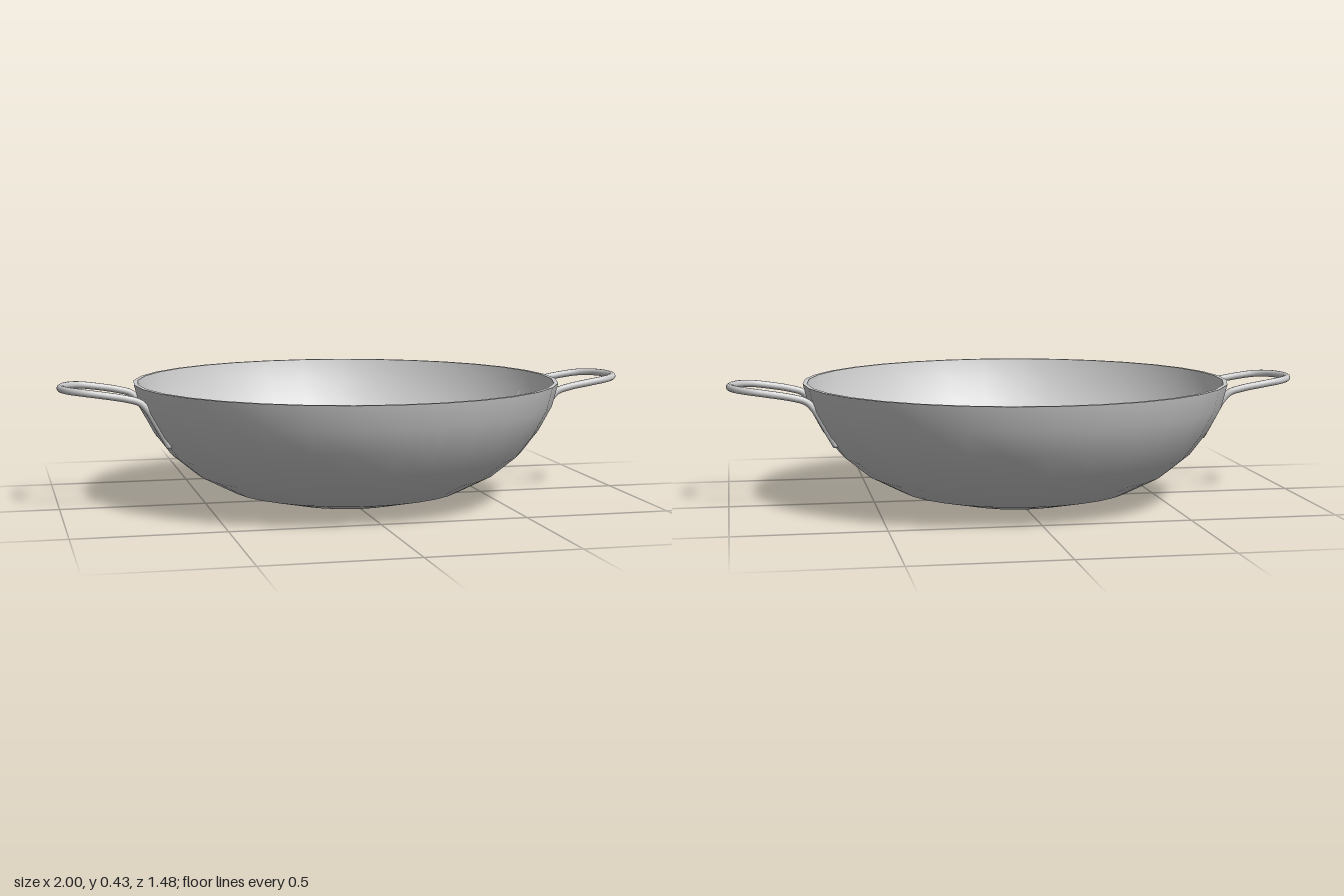
import * as THREE from 'three';

const material = new THREE.MeshStandardMaterial({ color: 0xcccccc });

// Outer wall profile, from the centre of the base up to the rim: [radius, height]
const OUTER = [[0, 0], [0.225, 0], [0.41, 0.043], [0.53, 0.105], [0.615, 0.175],
  [0.675, 0.255], [0.72, 0.34], [0.74, 0.42]];
// Inner wall, one wall thickness inside, from the rim back down to the centre
const INNER = [[0.725, 0.42], [0.706, 0.344], [0.662, 0.262], [0.604, 0.185],
  [0.521, 0.117], [0.405, 0.057], [0.223, 0.015], [0, 0.015]];

function addMesh(parent, name, geometry) {
  const mesh = new THREE.Mesh(geometry, material);
  mesh.name = name;
  parent.add(mesh);
  return mesh;
}

const lathe = (points) =>
  new THREE.LatheGeometry(points.map(([r, y]) => new THREE.Vector2(r, y)), 32);

// Bent wire loop: runs up the wall, turns outward and rounds back to the other leg
function createHandle(name) {
  const half = [[0.64, 0.228, 0.14], [0.675, 0.29, 0.14], [0.71, 0.35, 0.14],
    [0.735, 0.375, 0.14], [0.78, 0.389, 0.14], [0.86, 0.403, 0.138],
    [0.92, 0.411, 0.125], [0.965, 0.414, 0.08]];
  const path = [
    ...half,
    [0.987, 0.414, 0],
    ...half.map(([x, y, z]) => [x, y, -z]).reverse(),
  ].map((p) => new THREE.Vector3(...p));

  const handle = new THREE.Group();
  handle.name = name;
  const curve = new THREE.CatmullRomCurve3(path, false, 'centripetal');
  addMesh(handle, 'handleWire', new THREE.TubeGeometry(curve, 72, 0.0125, 10));
  // Rounded ends where the wire meets the wall
  for (const end of [path[0], path[path.length - 1]]) {
    addMesh(handle, 'handleEnd', new THREE.SphereGeometry(0.0125, 10, 6)).position.copy(end);
  }
  return handle;
}

export function createModel() {
  const pan = new THREE.Group();
  pan.name = 'pan';

  // Bowl: outer wall, flat rim and inner wall
  const bowl = new THREE.Group();
  bowl.name = 'bowl';
  addMesh(bowl, 'outerWall', lathe(OUTER));
  addMesh(bowl, 'rim', lathe([OUTER[OUTER.length - 1], INNER[0]]));
  addMesh(bowl, 'innerWall', lathe(INNER));
  pan.add(bowl);

  // Handles on both sides
  const rightHandle = createHandle('rightHandle');
  rightHandle.rotation.y = Math.PI;
  pan.add(createHandle('leftHandle'), rightHandle);

  return pan;
}
